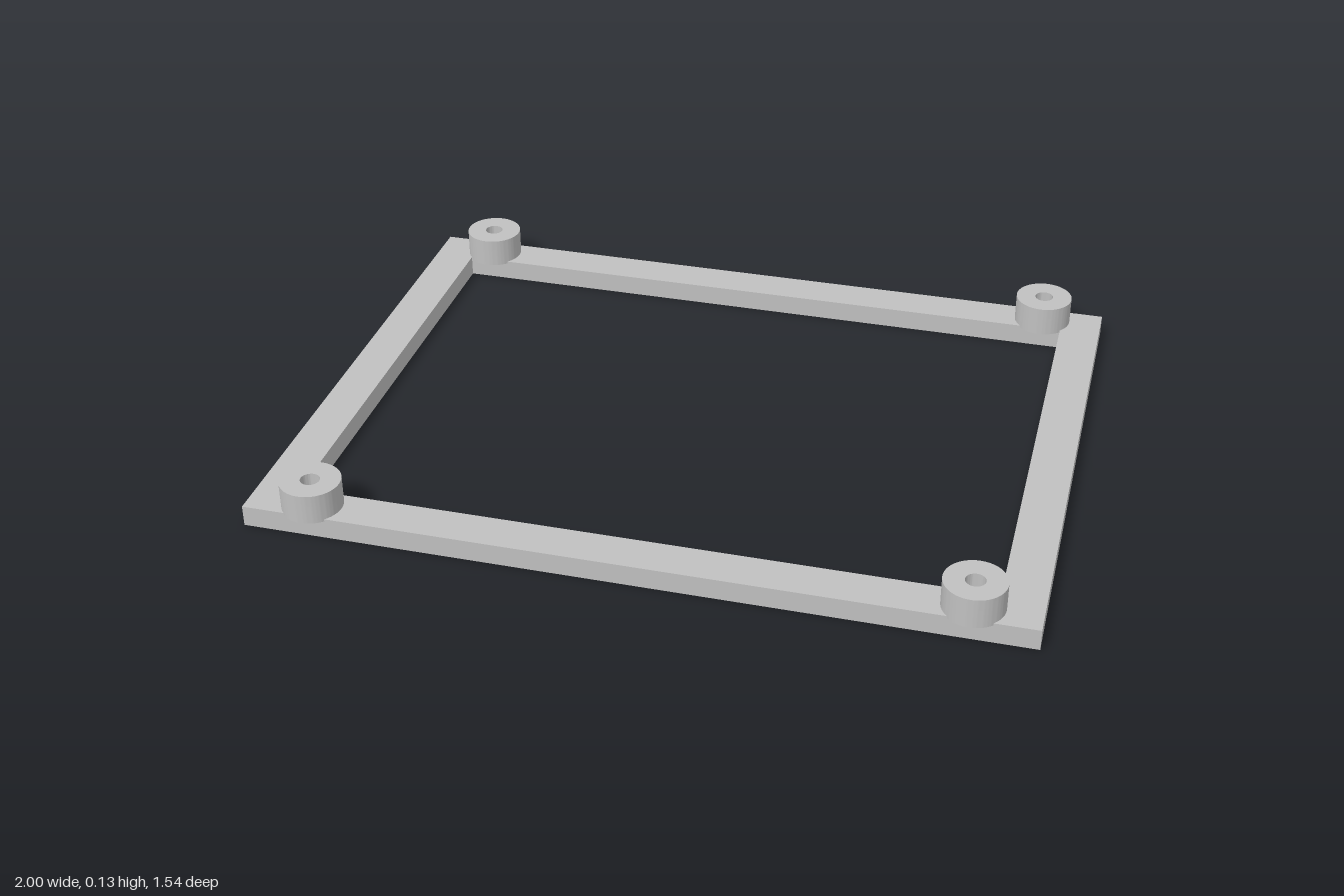
import * as THREE from 'three';
import { toCreasedNormals } from 'three/addons/utils/BufferGeometryUtils.js';

const grey = new THREE.MeshStandardMaterial({ color: 0xc0c0c0 });
grey.name = 'plain grey';

// Upright extrusion of a flat shape, from y = bottom to y = top
function extrudeUp(shape, bottom, top) {
  const geometry = new THREE.ExtrudeGeometry(shape, {
    depth: top - bottom, bevelEnabled: false, curveSegments: 48,
  });
  geometry.rotateX(-Math.PI / 2).translate(0, bottom, 0);
  return toCreasedNormals(geometry, Math.PI / 6);
}

function rectangle(path, halfX, halfZ) {
  path.moveTo(-halfX, -halfZ).lineTo(halfX, -halfZ);
  path.lineTo(halfX, halfZ).lineTo(-halfX, halfZ).closePath();
  return path;
}

export function createModel() {
  const model = new THREE.Group();
  model.name = 'mountingFrame';

  // Rectangular frame with an open middle
  const outline = rectangle(new THREE.Shape(), 1, 0.75);
  outline.holes.push(rectangle(new THREE.Path(), 0.89, 0.64));
  const frame = new THREE.Mesh(extrudeUp(outline, 0, 0.056), grey);
  frame.name = 'frame';
  model.add(frame);

  // Four round standoffs with screw holes, overhanging the frame slightly
  const ring = new THREE.Shape().absarc(0, 0, 0.078, 0, Math.PI * 2);
  ring.holes.push(new THREE.Path().absarc(0, 0, 0.025, 0, Math.PI * 2, true));
  const standoffGeometry = extrudeUp(ring, 0.05, 0.13);
  for (const [sideX, nameX] of [[1, 'Left'], [-1, 'Right']]) {
    for (const [sideZ, nameZ] of [[1, 'front'], [-1, 'back']]) {
      const standoff = new THREE.Mesh(standoffGeometry, grey);
      standoff.position.set(sideX * 0.833, 0, sideZ * 0.694);
      standoff.name = `${nameZ}${nameX}Standoff`;
      model.add(standoff);
    }
  }
  return model;
}
